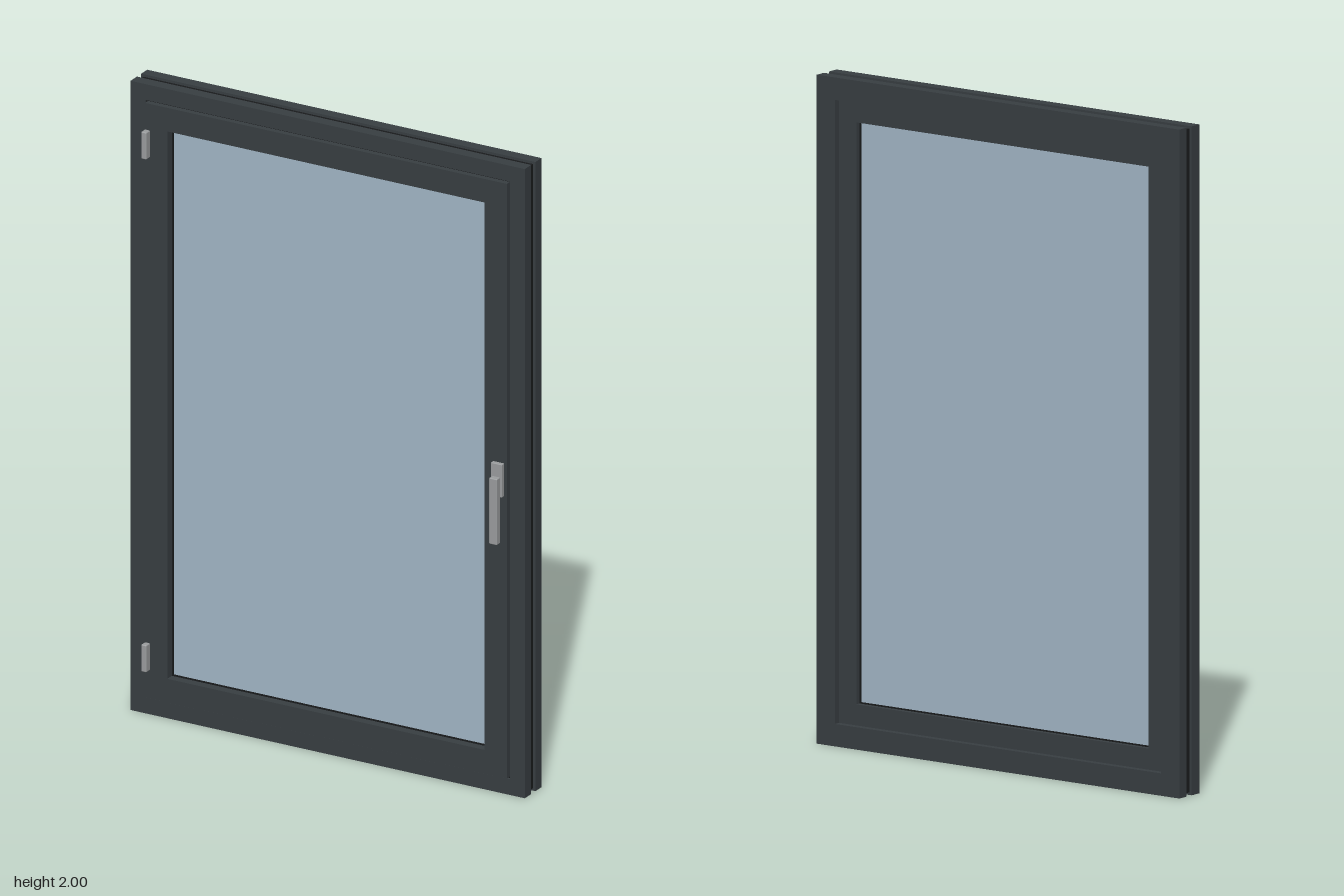
import * as THREE from 'three';
import { RoundedBoxGeometry } from 'three/addons/geometries/RoundedBoxGeometry.js';

const W = 1.334, H = 2;

const frameMat = new THREE.MeshStandardMaterial({ color: 0x383e42 });
const sealMat = new THREE.MeshStandardMaterial({ color: 0x191b1c });
const glassMat = new THREE.MeshStandardMaterial({ color: 0xa3b7c7 });
const metalMat = new THREE.MeshStandardMaterial({ color: 0x9b9d9f });

// Closed rectangle inset from the outer frame edge
function insetPoints(d) {
  const x = W / 2 - d;
  return [[-x, d], [x, d], [x, H - d], [-x, H - d]].map(([a, b]) => new THREE.Vector2(a, b));
}

// Rectangular ring between two insets, running from z0 to z1
function ring(name, outer, inner, z0, z1, material) {
  const shape = new THREE.Shape(insetPoints(outer));
  shape.holes.push(new THREE.Path(insetPoints(inner).reverse()));
  const geometry = new THREE.ExtrudeGeometry(shape, { depth: z1 - z0, bevelEnabled: false });
  geometry.translate(0, 0, z0);
  const mesh = new THREE.Mesh(geometry, material);
  mesh.name = name;
  return mesh;
}

// Slightly softened block given by its extents
function block(name, [x0, x1], [y0, y1], [z0, z1], radius, material) {
  const geometry = new RoundedBoxGeometry(x1 - x0, y1 - y0, z1 - z0, 2, radius);
  const mesh = new THREE.Mesh(geometry, material);
  mesh.position.set((x0 + x1) / 2, (y0 + y1) / 2, (z0 + z1) / 2);
  mesh.name = name;
  return mesh;
}

export function createModel() {
  const model = new THREE.Group();
  model.name = 'window';

  // Fixed frame: two shells joined by an inset thermal break
  const frame = new THREE.Group();
  frame.name = 'fixedFrame';
  frame.add(
    ring('outerShell', 0, 0.067, -0.071, -0.036, frameMat),
    ring('thermalBreak', 0.008, 0.06, -0.036, -0.011, sealMat),
    ring('innerShell', 0, 0.05, -0.011, 0.026, frameMat),
    ring('gasket', 0.05, 0.055, -0.011, 0.018, sealMat)
  );

  // Opening sash: overlapping front leaf and recessed back part
  const sash = new THREE.Group();
  sash.name = 'sash';
  sash.add(
    ring('sashFront', 0.055, 0.13, -0.03, 0.036, frameMat),
    ring('sashBack', 0.067, 0.13, -0.05, -0.03, frameMat),
    ring('frontGlazingSeal', 0.128, 0.134, 0.005, 0.009, sealMat),
    ring('backGlazingSeal', 0.128, 0.134, -0.034, -0.03, sealMat)
  );

  // Glass pane seated in the sash
  const glass = new THREE.Mesh(new THREE.BoxGeometry(W - 0.25, H - 0.25, 0.035), glassMat);
  glass.position.set(0, H / 2, -0.0125);
  glass.name = 'glassPane';
  sash.add(glass);

  // Hinges
  for (const [name, y] of [['lowerHinge', 0.1875], ['upperHinge', 1.8175]]) {
    model.add(block(name, [-0.614, -0.596], [y - 0.043, y + 0.043], [0.026, 0.057], 0.003, metalMat));
  }

  // Handle: base plate, neck and hanging grip
  const handle = new THREE.Group();
  handle.name = 'handle';
  handle.add(
    block('handlePlate', [0.565, 0.603], [0.95, 1.055], [0.035, 0.05], 0.002, metalMat),
    block('handleGrip', [0.571, 0.598], [0.805, 1.015], [0.05, 0.071], 0.003, metalMat)
  );
  const neck = new THREE.Mesh(new THREE.CylinderGeometry(0.011, 0.011, 0.016, 20), metalMat);
  neck.rotation.x = Math.PI / 2;
  neck.position.set(0.5845, 1, 0.052);
  neck.name = 'handleNeck';
  handle.add(neck);

  model.add(frame, sash, handle);
  return model;
}
